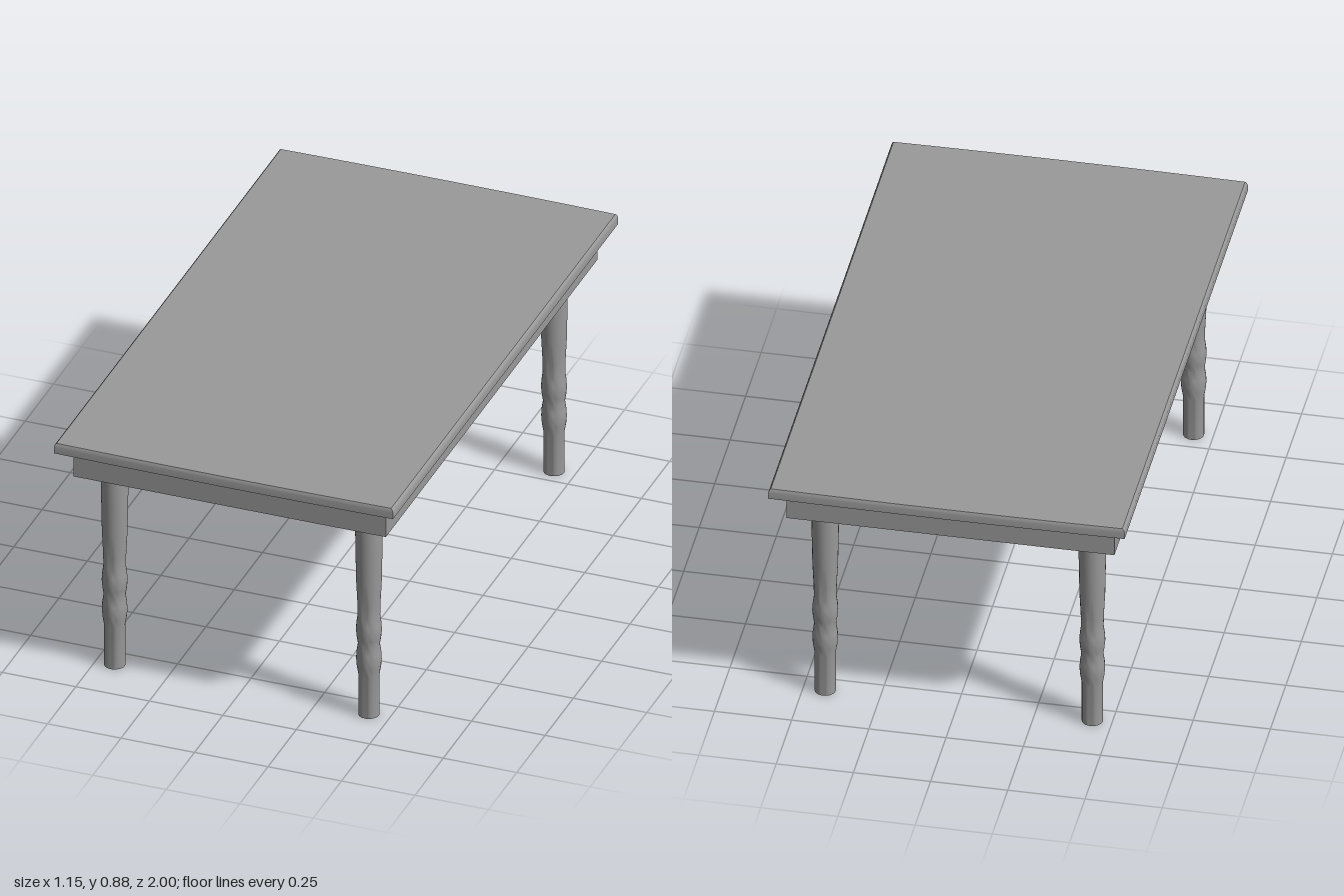
import * as THREE from 'three';
import { toCreasedNormals } from 'three/addons/utils/BufferGeometryUtils.js';

const material = new THREE.MeshStandardMaterial({ color: 0x9a9a9a });

function add(group, name, geometry, x, y, z) {
  const mesh = new THREE.Mesh(geometry, material);
  mesh.name = name;
  mesh.position.set(x, y, z);
  group.add(mesh);
}

// Slab with an eased upper rim and very slightly bowed ends
function tabletopGeometry() {
  const halfX = 0.577;
  // Height and inset of each ring, bottom to top
  const rings = [[0.84, 0], [0.862, 0], [0.871, 0.003], [0.876, 0.008]];
  const geometry = new THREE.BoxGeometry(2, 3, 2, 8, 3, 1);
  const p = geometry.attributes.position;
  for (let i = 0; i < p.count; i++) {
    const x = p.getX(i);
    const [y, inset] = rings[Math.round(p.getY(i) + 1.5)];
    const halfZ = 1 - 0.005 * x * x - inset * 0.5;
    p.setXYZ(i, x * (halfX - inset), y, p.getZ(i) * halfZ);
  }
  return toCreasedNormals(geometry, 0.6);
}

// Turned leg: straight foot, two bulges, then a widening shaft
function legGeometry() {
  const turned = [
    [0.034, 0], [0.034, 0.15], [0.039, 0.18], [0.041, 0.205], [0.0395, 0.23],
    [0.035, 0.26], [0.039, 0.285], [0.0415, 0.31], [0.04, 0.335], [0.036, 0.365],
    [0.037, 0.41], [0.041, 0.49], [0.043, 0.6], [0.045, 0.74],
  ];
  const profile = [[0, 0], ...turned, [0, 0.74]].map(([r, y]) => new THREE.Vector2(r, y));
  return toCreasedNormals(new THREE.LatheGeometry(profile, 24), 0.7);
}

export function createModel() {
  const table = new THREE.Group();
  table.name = 'table';

  add(table, 'tabletop', tabletopGeometry(), 0, 0, 0);
  add(table, 'apron', new THREE.BoxGeometry(1.062, 0.11, 1.872), -0.001, 0.787, 0);

  const leg = legGeometry();
  for (const [side, x] of [['Right', -0.436], ['Left', 0.429]]) {
    for (const [end, z] of [['front', 0.823], ['back', -0.812]]) {
      add(table, `${end}${side}Leg`, leg, x, 0, z);
    }
  }
  return table;
}
